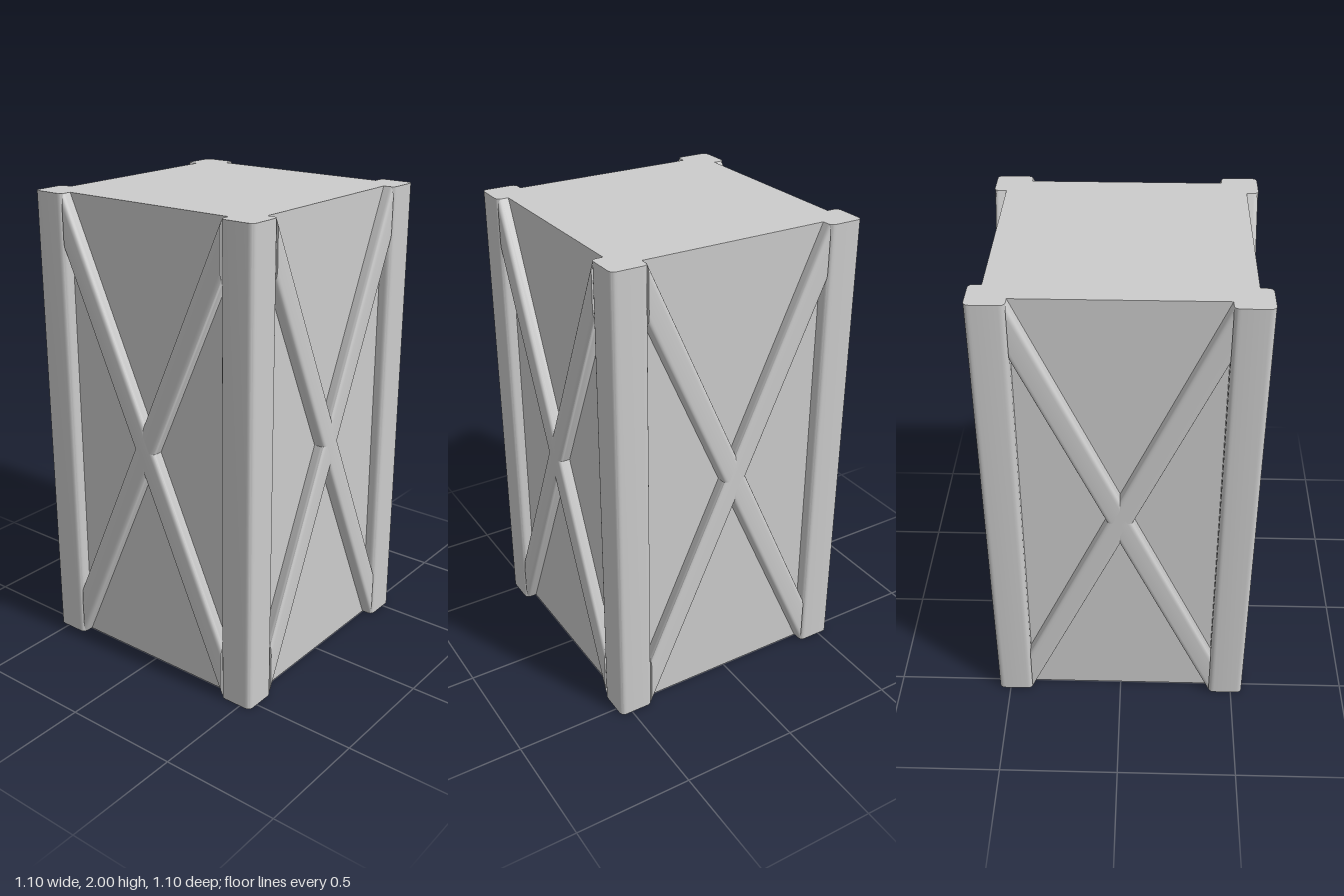
import * as THREE from 'three';
import { toCreasedNormals } from 'three/addons/utils/BufferGeometryUtils.js';

const HEIGHT = 2, CORE = 0.5, OUTER = 0.55, INNER = 0.4;

// Rectangle whose corners can be rounded; rx, ry are the fillet sizes
function roundedRect(x0, y0, x1, y1, rx, ry, roundInner) {
  const s = new THREE.Shape();
  s.moveTo(x0, y0 + (roundInner ? ry : 0));
  if (roundInner) s.quadraticCurveTo(x0, y0, x0 + rx, y0);
  s.lineTo(x1 - rx, y0);
  s.quadraticCurveTo(x1, y0, x1, y0 + ry);
  s.lineTo(x1, y1 - ry);
  s.quadraticCurveTo(x1, y1, x1 - rx, y1);
  s.lineTo(x0 + (roundInner ? rx : 0), y1);
  if (roundInner) s.quadraticCurveTo(x0, y1, x0, y1 - ry);
  s.closePath();
  return s;
}

// Upright corner post with softened edges
function postGeometry() {
  const shape = roundedRect(INNER, INNER, OUTER, OUTER, 0.025, 0.025, true);
  const g = new THREE.ExtrudeGeometry(shape, { depth: HEIGHT, bevelEnabled: false, curveSegments: 5 });
  g.rotateX(-Math.PI / 2);
  return toCreasedNormals(g, 0.6);
}

// Diagonal brace: a straight bar along x sheared upward, so its ends stay vertical
function braceGeometry(direction) {
  const half = 0.117, slope = (HEIGHT / 2 - half) / INNER;
  const shape = roundedRect(CORE - 0.02, -half, OUTER - 0.002, half, 0.02, 0.05, false);
  const g = new THREE.ExtrudeGeometry(shape, { depth: INNER * 2, bevelEnabled: false, curveSegments: 5 });
  g.translate(0, 0, -INNER);
  g.rotateY(-Math.PI / 2);
  const p = g.attributes.position;
  for (let i = 0; i < p.count; i++) {
    p.setY(i, p.getY(i) + HEIGHT / 2 + direction * slope * p.getX(i));
  }
  g.computeVertexNormals();
  return toCreasedNormals(g, 0.6);
}

export function createModel() {
  const model = new THREE.Group();
  model.name = 'bracedCrate';
  const material = new THREE.MeshStandardMaterial({ color: 0xcccccc });
  const add = (parent, name, geometry) => {
    const mesh = new THREE.Mesh(geometry, material);
    mesh.name = name;
    parent.add(mesh);
    return mesh;
  };

  // Plain box body
  const body = add(model, 'body', new THREE.BoxGeometry(CORE * 2, HEIGHT, CORE * 2));
  body.position.y = HEIGHT / 2;

  // Each side carries one corner post and a crossed pair of braces
  const post = postGeometry();
  const rising = braceGeometry(1), falling = braceGeometry(-1);
  ['front', 'left', 'back', 'right'].forEach((name, i) => {
    const side = new THREE.Group();
    side.name = name + 'Side';
    side.rotation.y = i * Math.PI / 2;
    add(side, name + 'CornerPost', post);
    add(side, name + 'RisingBrace', rising);
    add(side, name + 'FallingBrace', falling);
    model.add(side);
  });
  return model;
}
